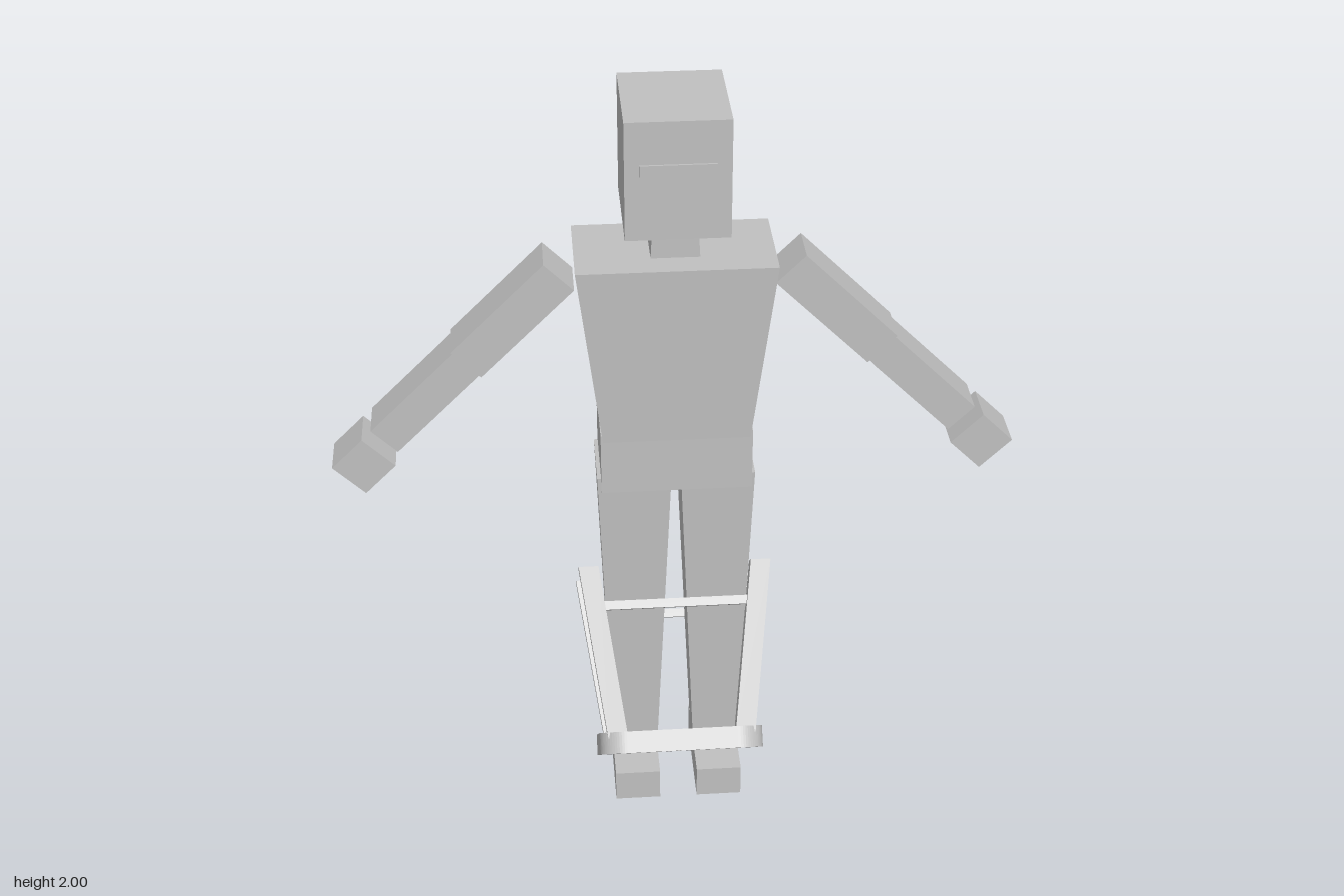
import * as THREE from 'three';

const grey = new THREE.MeshStandardMaterial({ color: 0xc0c0c0 });
grey.name = 'plain grey';

function add(parent, name, geometry) {
  const mesh = new THREE.Mesh(geometry, grey);
  mesh.name = name;
  parent.add(mesh);
  return mesh;
}

function box(parent, name, w, h, d, x, y, z) {
  const mesh = add(parent, name, new THREE.BoxGeometry(w, h, d));
  mesh.position.set(x, y, z);
  return mesh;
}

// Box whose lower and upper ends are given as [x0, x1, z0, z1]
function taper(parent, name, y0, low, y1, high) {
  const g = new THREE.BoxGeometry(1, 1, 1);
  const p = g.attributes.position;
  for (let i = 0; i < p.count; i++) {
    const up = p.getY(i) > 0;
    const end = up ? high : low;
    p.setXYZ(i, end[p.getX(i) > 0 ? 1 : 0], up ? y1 : y0, end[p.getZ(i) > 0 ? 3 : 2]);
  }
  g.computeVertexNormals();
  return add(parent, name, g);
}

function createFigure() {
  const figure = new THREE.Group();
  figure.name = 'figure';

  // Head, face plate, neck, trunk
  box(figure, 'head', 0.25, 0.3, 0.28, 0, 1.85, 0.01);
  box(figure, 'visor', 0.18, 0.046, 0.008, 0, 1.87, 0.151);
  taper(figure, 'neck', 1.6, [-0.06, 0.06, -0.055, 0.063], 1.69, [-0.055, 0.055, -0.052, 0.062]);
  taper(figure, 'torso', 1.12, [-0.184, 0.184, -0.1, 0.116], 1.605, [-0.243, 0.243, -0.122, 0.132]);
  box(figure, 'pelvis', 0.38, 0.17, 0.218, 0, 1.055, 0.007);

  for (const s of [1, -1]) {
    const side = s > 0 ? 'left' : 'right';
    const span = (a, b) => (s > 0 ? [a, b] : [-b, -a]);

    // Leg and foot
    taper(figure, side + 'Leg', 0.08, [...span(0.05, 0.167), -0.056, 0.062],
      1.0, [...span(0.012, 0.2), -0.088, 0.096]);
    box(figure, side + 'Foot', 0.12, 0.09, 0.275, s * 0.11, 0.045, 0.042);

    // Arm sloping down from the shoulder, measured along its own x axis
    const arm = new THREE.Group();
    arm.name = side + 'Arm';
    arm.position.set(s * 0.28, 1.561, 0.004);
    arm.rotation.z = -s * Math.PI / 4;
    figure.add(arm);
    box(arm, side + 'UpperArm', 0.33, 0.102, 0.117, s * 0.165, 0, 0);
    box(arm, side + 'Forearm', 0.302, 0.09, 0.111, s * 0.481, 0, 0);
    box(arm, side + 'Hand', 0.112, 0.112, 0.115, s * 0.722, -0.011, 0);
  }
  return figure;
}

function createStool() {
  // Upright stool with its seat face at y = 0, then tipped over
  const stool = new THREE.Group();
  stool.name = 'stool';
  const half = 0.215, r = 0.07, thick = 0.056;

  // Rounded square seat with a hand hole
  const shape = new THREE.Shape();
  const c = half - r, q = Math.PI / 2;
  [[c, c], [-c, c], [-c, -c], [c, -c]].forEach(([x, y], i) =>
    shape.absarc(x, y, r, i * q, (i + 1) * q, false));
  shape.closePath();
  const hole = new THREE.Path();
  hole.absarc(0, 0, 0.048, 0, Math.PI * 2, true);
  shape.holes.push(hole);
  const seat = new THREE.ExtrudeGeometry(shape, { depth: thick, bevelEnabled: false, curveSegments: 8 });
  seat.rotateX(Math.PI / 2);
  add(stool, 'seat', seat);

  // Splayed legs
  const square = (x, z, h) => [x - h, x + h, z - h, z + h];
  for (const sx of [1, -1]) for (const sz of [1, -1]) {
    taper(stool, 'stoolLeg', -0.488, square(sx * 0.226, sz * 0.226, 0.026),
      -0.04, square(sx * 0.167, sz * 0.172, 0.026));
  }

  // Rungs between the legs
  const rung = 0.023, reach = 0.212;
  for (const s of [1, -1]) {
    box(stool, 'crossRung', reach * 2, rung, rung, 0, -0.386, s * reach);
    box(stool, 'sideRung', rung, rung, reach * 2, s * reach, -0.386, 0);
  }

  stool.position.set(0, 0.159, 0.178);
  stool.rotation.x = 2.424;
  return stool;
}

export function createModel() {
  const model = new THREE.Group();
  model.name = 'figureWithStool';
  model.add(createFigure(), createStool());
  return model;
}
